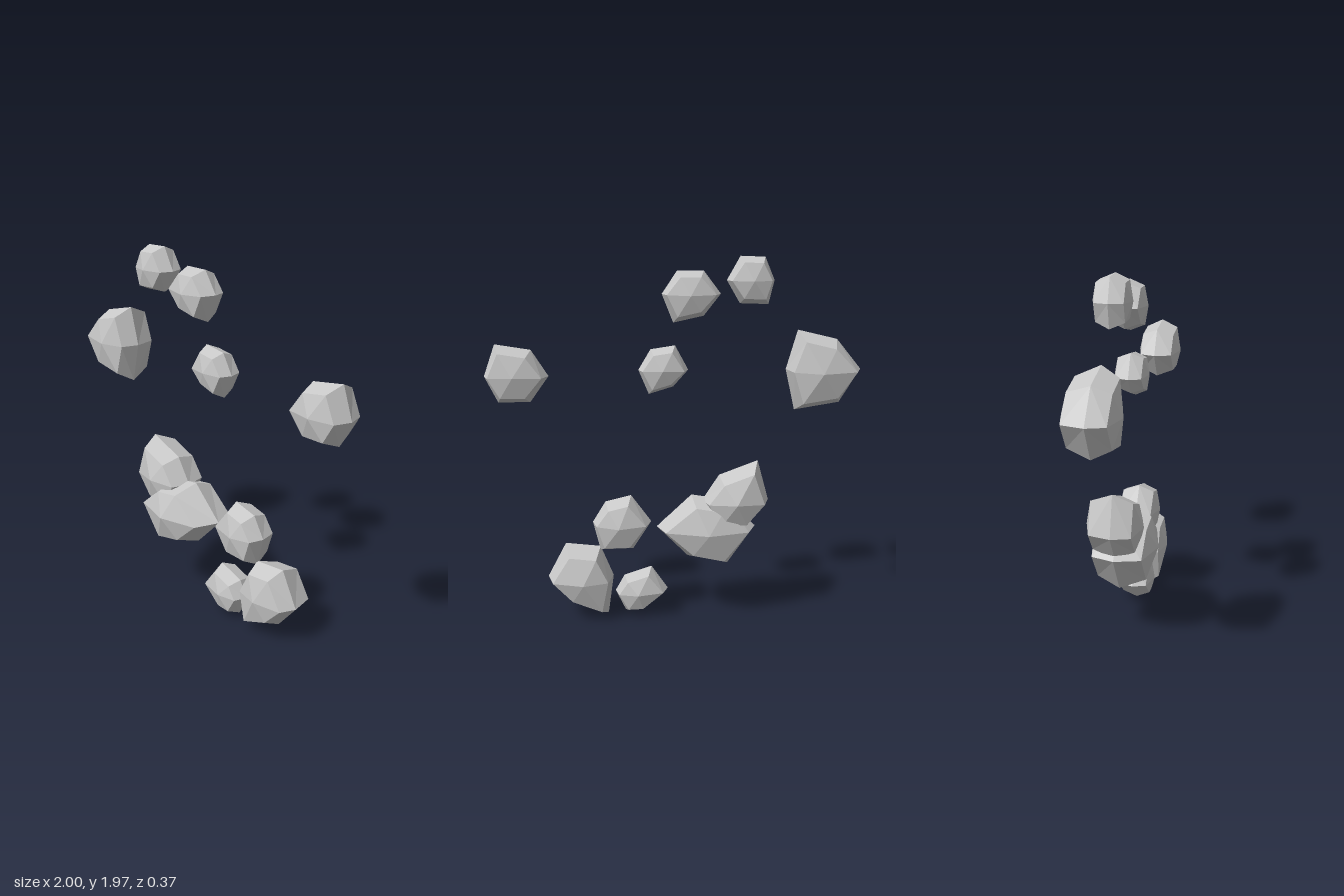
import * as THREE from 'three';

// Each rock: silhouette in x,y (clockwise from its left tip), front depth, back depth
const ROCKS = [
  { rim: [-1, 1.37, -0.87, 1.53, -0.66, 1.58, -0.6, 1.37, -0.65, 1.15, -0.89, 1.19], front: 0.13, back: 0.165 },
  { rim: [-0.53, 1.84, -0.48, 1.96, -0.35, 1.965, -0.28, 1.84, -0.35, 1.72, -0.5, 1.715], front: 0.1, back: 0.1 },
  { rim: [-0.25, 1.77, -0.16, 1.89, -0.02, 1.89, 0.06, 1.77, 0, 1.62, -0.16, 1.655], front: 0.11, back: 0.1 },
  { rim: [-0.08, 1.37, -0.01, 1.5, 0.12, 1.48, 0.185, 1.37, 0.13, 1.24, 0, 1.28], front: 0.09, back: 0.1 },
  { rim: [0.66, 1.34, 0.75, 1.48, 0.94, 1.51, 1, 1.34, 0.93, 1.2, 0.76, 1.2], front: 0.13, back: 0.12 },
  { rim: [-0.52, 0.65, -0.46, 0.87, -0.25, 0.79, -0.16, 0.65, -0.23, 0.49, -0.41, 0.5], front: 0.14, back: 0.165 },
  { rim: [-0.45, 0.5, -0.29, 0.65, -0.1, 0.68, 0.09, 0.5, -0.08, 0.33, -0.3, 0.285], front: 0.19, back: 0.17 },
  { rim: [0.12, 0.53, 0.23, 0.68, 0.37, 0.645, 0.44, 0.53, 0.4, 0.37, 0.22, 0.375], front: 0.11, back: 0.13 },
  { rim: [0.33, 0.22, 0.4, 0.39, 0.59, 0.41, 0.69, 0.22, 0.57, 0.08, 0.36, 0], front: 0.12, back: 0.18 },
  { rim: [0.03, 0.14, 0.12, 0.27, 0.27, 0.22, 0.32, 0.13, 0.265, 0.015, 0.16, 0.02], front: 0.1, back: 0.11 },
];

// Faceted boulder: rim at z = 0, a shoulder ring and a peak on each side
function rockGeometry({ rim, front, back }) {
  const n = rim.length / 2;
  const points = [];
  for (let i = 0; i < n; i++) points.push(new THREE.Vector3(rim[2 * i], rim[2 * i + 1], 0));
  const centre = new THREE.Vector3();
  points.forEach((p) => centre.addScaledVector(p, 1 / n));

  const verts = [];
  const half = (depth, flip) => {
    const tri = (a, b, c) => {
      for (const p of flip ? [a, c, b] : [a, b, c]) verts.push(p.x, p.y, p.z);
    };
    const peak = centre.clone().setZ(depth);
    // Alternate corners sit a little further in, for uneven facets
    const shoulder = points.map((p, i) =>
      p.clone().lerp(centre, i % 3 ? 0.24 : 0.17).setZ(depth * 0.73));
    for (let i = 0; i < n; i++) {
      const j = (i + 1) % n;
      tri(points[j], points[i], shoulder[i]);
      tri(points[j], shoulder[i], shoulder[j]);
      tri(shoulder[j], shoulder[i], peak);
    }
  };
  half(front, false);
  half(-back, true);

  const geometry = new THREE.BufferGeometry();
  geometry.setAttribute('position', new THREE.Float32BufferAttribute(verts, 3));
  geometry.computeVertexNormals();
  return geometry;
}

export function createModel() {
  const group = new THREE.Group();
  group.name = 'floatingRocks';
  const stone = new THREE.MeshStandardMaterial({ color: 0xc8c8c8 });
  stone.name = 'grey stone';
  stone.flatShading = true;

  ROCKS.forEach((rock, i) => {
    const mesh = new THREE.Mesh(rockGeometry(rock), stone);
    mesh.name = `rock${i + 1}`;
    group.add(mesh);
  });
  return group;
}
